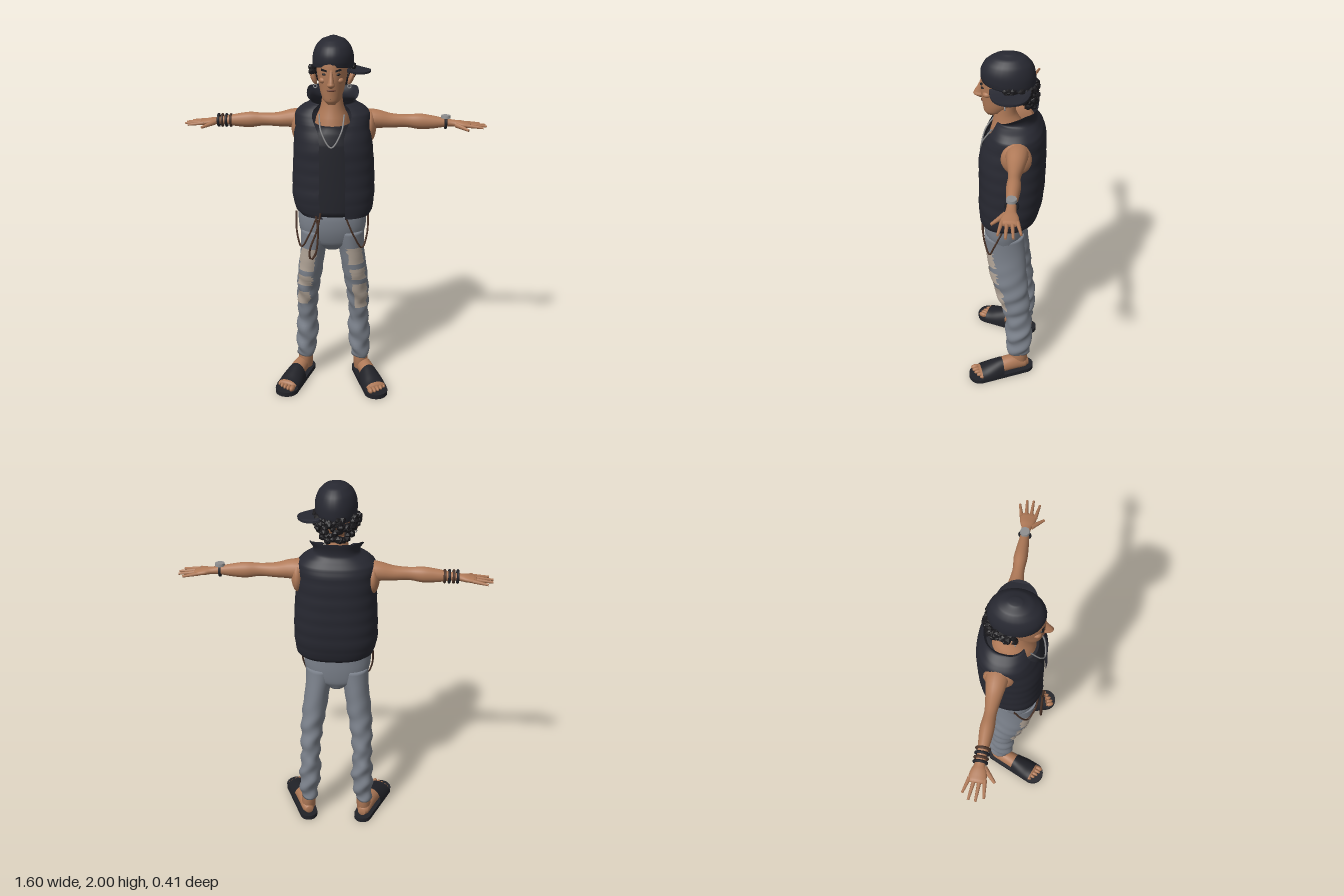
import * as THREE from 'three';
import { mergeGeometries } from 'three/addons/utils/BufferGeometryUtils.js';

const mat = (name, color, side = THREE.FrontSide) => {
  const m = new THREE.MeshStandardMaterial({ color, side });
  m.name = name;
  return m;
};
const V = (x, y, z) => new THREE.Vector3(x, y, z);

// Catmull-Rom resampling of ring rows [t, u, v, ru, rv], sorted along t
function smooth(rings, steps = 5) {
  const r = [...rings].sort((a, b) => a[0] - b[0]), out = [];
  for (let i = 0; i < r.length - 1; i++) {
    const p = [r[Math.max(i - 1, 0)], r[i], r[i + 1], r[Math.min(i + 2, r.length - 1)]];
    for (let k = 0; k < steps; k++) {
      const f = k / steps;
      out.push(r[i].map((_, c) => {
        if (c === 0) return p[1][0] + (p[2][0] - p[1][0]) * f;
        const m0 = (p[2][c] - p[0][c]) / 2, m1 = (p[3][c] - p[1][c]) / 2, d = p[2][c] - p[1][c];
        return p[1][c] + m0 * f + (3 * d - 2 * m0 - m1) * f * f + (m0 + m1 - 2 * d) * f * f * f;
      }));
    }
  }
  out.push(r[r.length - 1]);
  return out;
}
const at = (rows, t) => {
  const i = Math.max(1, rows.findIndex(r => r[0] >= t)), a = rows[i - 1], b = rows[i];
  const f = (t - a[0]) / (b[0] - a[0]);
  return a.map((v, c) => v + (b[c] - v) * f);
};

// Skin through elliptical rings; an arc(t) => [a0, a1] leaves it open
function loft(rows, { axis = 'y', seg = 28, arc = null, p = 2, warp = null } = {}) {
  const pos = [], idx = [], n = arc ? seg + 1 : seg;
  const put = (u, t, v) => {
    const q = axis === 'y' ? V(u, t, v) : axis === 'x' ? V(t, v, u) : V(v, u, t);
    if (warp) warp(q);
    pos.push(q.x, q.y, q.z);
  };
  const pw = c => Math.sign(c) * Math.abs(c) ** (2 / p);
  rows.forEach(([t, u, v, ru, rv]) => {
    const [a0, a1] = arc ? arc(t) : [0, Math.PI * 2];
    for (let i = 0; i < n; i++) {
      const a = a0 + (a1 - a0) * i / seg;
      put(u + ru * pw(Math.cos(a)), t, v + rv * pw(Math.sin(a)));
    }
  });
  for (let j = 0; j < rows.length - 1; j++) for (let i = 0; i < seg; i++) {
    const a = j * n + i, b = j * n + (i + 1) % n;
    idx.push(a, a + n, b, b, a + n, b + n);
  }
  if (!arc) {
    const end = rows.length - 1, c = rows.length * n;
    [0, end].forEach(j => put(rows[j][1], rows[j][0], rows[j][2]));
    for (let i = 0; i < n; i++) {
      const k = (i + 1) % n;
      idx.push(c, i, k, c + 1, end * n + k, end * n + i);
    }
  }
  const g = new THREE.BufferGeometry();
  g.setAttribute('position', new THREE.Float32BufferAttribute(pos, 3));
  g.setIndex(idx);
  g.computeVertexNormals();
  return g;
}
const rod = (a, b, r0, r1) => {
  const d = b.clone().sub(a), g = new THREE.CylinderGeometry(r1, r0, d.length(), 8);
  g.applyQuaternion(new THREE.Quaternion().setFromUnitVectors(V(0, 1, 0), d.normalize()));
  const m = a.clone().add(b).multiplyScalar(0.5);
  return g.translate(m.x, m.y, m.z);
};
const ball = (x, y, z, rx, ry, rz) => new THREE.SphereGeometry(1, 18, 12).scale(rx, ry, rz).translate(x, y, z);
const tube = (pts, r) => new THREE.TubeGeometry(new THREE.CatmullRomCurve3(pts.map(p => V(...p))), 30, r, 6);

export function createModel() {
  const root = new THREE.Group();
  const skin = mat('skin', 0xb07a58), vest = mat('vest cloth', 0x272831, THREE.DoubleSide);
  const tank = mat('undershirt cloth', 0x24252c), denim = mat('denim', 0x7b818b);
  const fray = mat('frayed cloth', 0xb3a699, THREE.DoubleSide), hair = mat('hair', 0x19181b);
  const rubber = mat('sandal', 0x212228, THREE.DoubleSide), leather = mat('leather', 0x4a3328);
  const metal = mat('metal', 0x8f8f90), lip = mat('lips', 0x6a4032);
  const add = (name, geo, m, parent = root) => {
    const mesh = new THREE.Mesh(geo, m);
    mesh.name = name;
    parent.add(mesh);
    return mesh;
  };
  let seed = 7;
  const rnd = () => (seed = (seed * 16807) % 2147483647) / 2147483647;

  // Head, neck and face
  add('head', loft(smooth([[1.665, -.01, .078, .022, .025], [1.685, -.01, .062, .044, .054], [1.72, -.01, .042, .058, .08],
    [1.76, -.01, .02, .068, .108], [1.8, -.01, .01, .076, .122], [1.86, -.01, 0, .084, .13], [1.92, -.01, -.005, .085, .125]])), skin);
  add('neck', loft(smooth([[1.5, -.01, -.02, .1, .12], [1.58, -.01, -.015, .085, .1], [1.63, -.01, 0, .064, .072],
    [1.68, -.01, .01, .054, .055], [1.75, -.01, .01, .052, .055]])), skin);
  add('nose', loft(smooth([[1.757, -.01, .13, .01, .014], [1.77, -.01, .135, .021, .031], [1.785, -.01, .134, .016, .03],
    [1.815, -.01, .127, .011, .02], [1.845, -.01, .118, .009, .015]]), { seg: 12 }), skin);
  add('mouth', ball(-.01, 1.742, .118, .024, .006, .012), lip);
  add('goatee', ball(-.01, 1.7, .107, .012, .009, .012), hair);
  for (const s of [-1, 1]) {
    add('ear', ball(0, 0, 0, .014, .042, .026).rotateZ(-s * .35).translate(-.01 + s * .098, 1.788, -.005), skin);
    add('earring', new THREE.TorusGeometry(.009, .003, 6, 12).translate(-.01 + s * .088, 1.742, .005), metal);
    add('cheekbone', ball(-.01 + s * .042, 1.79, .095, .02, .016, .022), skin);
    add('eye', ball(-.01 + s * .034, 1.823, .116, .013, .006, .009), hair);
    add('eyebrow', new THREE.BoxGeometry(.036, .009, .009).rotateZ(s * .3).translate(-.01 + s * .033, 1.843, .122), hair);
  }

  // Curly hair below the cap
  const curls = [];
  for (let i = 0; i < 120; i++) {
    const a = Math.PI * (.95 + 1.1 * rnd()), k = Math.max(0, -Math.sin(a)), h = rnd();
    curls.push(new THREE.IcosahedronGeometry(.013 + .008 * rnd(), 0).rotateX(rnd() * 3)
      .translate(-.01 + Math.cos(a) * (.092 + .018 * rnd()), 1.845 - h * (.035 + .085 * k), -.015 + Math.sin(a) * (.115 + .02 * rnd())));
  }
  add('curlyHair', mergeGeometries(curls), hair);

  // Cap, with the visor turned to the left side
  add('cap', loft(smooth([[1.84, -.005, -.005, .103, .13], [1.87, -.005, -.005, .106, .135], [1.91, -.005, -.006, .103, .132],
    [1.95, -.005, -.008, .088, .114], [1.98, -.005, -.01, .06, .078], [1.996, -.005, -.01, .02, .028]]),
  { warp: q => { q.y += (1.99 - q.y) * q.z * .9; } }), vest);
  const visor = new THREE.Shape();
  visor.absellipse(0, 0, .12, .1, -Math.PI / 2, Math.PI / 2);
  const brim = new THREE.ExtrudeGeometry(visor, { depth: .01, bevelEnabled: false, curveSegments: 24 }).rotateX(Math.PI / 2);
  const bp = brim.attributes.position;
  for (let i = 0; i < bp.count; i++) {
    const x = bp.getX(i), z = bp.getZ(i);
    bp.setY(i, bp.getY(i) - x * .38 - z * z * 3);
  }
  brim.computeVertexNormals();
  add('visor', brim.translate(.068, 1.87, -.02), vest);

  // Undershirt and padded open vest with a raised collar
  add('undershirt', loft(smooth([[1.07, -.005, 0, .17, .135], [1.2, -.005, -.02, .2, .155], [1.45, -.01, -.028, .18, .157],
    [1.51, -.01, -.03, .13, .147], [1.55, -.01, -.03, .09, .133]]), { p: 2.3 }), tank);
  const vestRows = smooth([[1.06, .005, 0, .19, .145], [1.08, 0, -.01, .205, .155], [1.15, -.005, -.018, .22, .168],
    [1.25, -.005, -.025, .22, .172], [1.35, -.005, -.027, .215, .173], [1.45, -.008, -.028, .208, .172],
    [1.55, -.01, -.04, .2, .157], [1.6, -.01, -.045, .196, .138], [1.63, -.01, -.045, .165, .118],
    [1.655, -.01, -.045, .122, .103], [1.685, -.01, -.047, .118, .1], [1.725, -.01, -.05, .136, .106]], 6);
  const gap = t => .25 + .3 * THREE.MathUtils.smoothstep(t, 1.48, 1.66);
  add('vest', loft(vestRows, {
    p: 2.4, seg: 48, arc: t => [Math.PI / 2 + gap(t), Math.PI * 2.5 - gap(t)],
    warp: q => {
      const k = q.y < 1.58 ? 1 + .014 * (Math.abs(Math.sin((q.y - 1.06) * 40)) - .6) : 1;
      q.x *= k; q.z *= k;
      if (q.y > 1.65) q.y -= (q.y - 1.65) / .075 * .45 * Math.max(0, q.z + .1);
    },
  }), vest);
  add('necklace', tube([[-.075, 1.61, .07], [-.062, 1.53, .12], [-.01, 1.45, .138], [.042, 1.53, .12], [.055, 1.61, .07]], .004), metal);

  for (const s of [-1, 1]) {
    const side = s > 0 ? 'left' : 'right';
    // Arm with palm and fingers
    add(side + 'Shoulder', ball(s * .19 - .005, 1.522, -.06, .036, .088, .078), skin);
    add(side + 'Arm', loft(smooth([[.16, -.065, 1.55, .06, .06], [.22, -.065, 1.557, .054, .05], [.3, -.065, 1.549, .04, .038],
      [.38, -.065, 1.548, .03, .034], [.45, -.067, 1.545, .035, .041], [.52, -.067, 1.542, .03, .034], [.59, -.068, 1.54, .023, .022],
      [.63, -.068, 1.537, .026, .018], [.66, -.068, 1.534, .038, .018], [.7, -.068, 1.53, .043, .014], [.715, -.068, 1.53, .038, .009]]
      .map(r => [s * r[0], ...r.slice(1)])), { axis: 'x', seg: 18 }), skin);
    [[-.104, -.125, .77], [-.08, -.092, .797], [-.056, -.058, .8], [-.033, -.022, .78]].forEach(([z0, z1, x]) =>
      add(side + 'Finger', rod(V(s * .695, 1.531, z0), V(s * x, 1.523, z1), .0105, .006), skin));
    add(side + 'Thumb', rod(V(s * .64, 1.532, -.045), V(s * .7, 1.518, .014), .014, .007), skin);

    // Leg with creased denim
    const rows = smooth([[.97, .088, .01, .085, .107], [.85, .105, -.003, .07, .105], [.7, .125, -.02, .068, .1],
      [.6, .138, -.04, .063, .09], [.5, .145, -.06, .057, .08], [.4, .148, -.075, .053, .074], [.3, .15, -.08, .061, .076],
      [.2, .156, -.08, .055, .07], [.13, .16, -.082, .048, .062]].map(([t, u, ...r]) => [t, s * u - .01, ...r]), 7);
    const crease = q => {
      const k = .006 * THREE.MathUtils.smoothstep(.9 - q.y, 0, .5);
      q.x += k * Math.sin(q.y * 58 + q.z * 30);
      q.z += k * Math.sin(q.y * 47 + q.x * 40);
    };
    add(side + 'TrouserLeg', loft(rows, { warp: crease }), denim);

    // Frayed patches hugging the leg front
    const rips = s > 0 ? [[.78, .88], [.68, .75], [.48, .65]] : [[.73, .87], [.63, .7], [.5, .59]];
    for (const [y0, y1] of rips) {
      const patch = [];
      for (let i = 0; i <= 10; i++) {
        const [t, u, v, ru, rv] = at(rows, y0 + (y1 - y0) * i / 10);
        patch.push([t, u, v, ru + .005, rv + .005]);
      }
      const mid = Math.PI / 2 - s * .35;
      add(side + 'FrayedPatch', loft(patch, {
        seg: 12, warp: crease,
        arc: () => [mid - .5 - .25 * rnd(), mid + .5 + .25 * rnd()],
      }), fray);
    }
    add(side + 'HipStrap', tube([[s * .075 - .01, 1.07, .125], [s * .12 - .01, .96, .118], [s * .165 - .01, .88, .085],
      [s * .19 - .01, .95, .055], [s * .195 - .01, 1.06, .01]], .005), leather);

    // Foot in an open sandal
    const foot = new THREE.Group();
    foot.name = side + 'Foot';
    foot.position.set(s * .21 - .01, 0, .018);
    foot.rotation.y = s * .35;
    root.add(foot);
    const outline = new THREE.Shape();
    outline.absarc(0, .145, .05, 0, Math.PI);
    outline.absarc(0, -.13, .066, Math.PI, Math.PI * 2);
    add('sole', new THREE.ExtrudeGeometry(outline, { depth: .026, bevelEnabled: false, curveSegments: 20 }).rotateX(-Math.PI / 2), rubber, foot);
    add('footSkin', loft(smooth([[-.165, .05, 0, .022, .022], [-.14, .055, 0, .036, .036], [-.08, .065, 0, .048, .042],
      [0, .06, 0, .044, .046], [.07, .048, 0, .03, .053], [.135, .04, 0, .018, .054]]), { axis: 'z' }), skin, foot);
    for (let i = 0; i < 5; i++) {
      const big = i === 0 ? 1.3 : 1;
      add('toe', ball(s * (-.042 + i * .022), .038, .15 - i * i * .002, .011 * big, .013 * big, .026), skin, foot);
    }
    add('strap', loft(smooth([[-.005, .02, 0, .088, .058], [.06, .02, 0, .07, .066], [.125, .02, 0, .05, .067]]),
      { axis: 'z', arc: () => [-Math.PI / 2, Math.PI / 2] }), rubber, foot);
    add(side + 'Ankle', loft([[.05, s * .165 - .01, -.08, .042, .052], [.2, s * .158 - .01, -.08, .04, .05]]), skin);
  }

  // Trouser seat and hanging cord
  add('trouserSeat', loft(smooth([[.855, -.01, -.005, .05, .07], [.9, -.01, .003, .15, .098], [.97, -.01, .01, .178, .113],
    [1.04, -.01, .013, .184, .117], [1.1, -.01, .01, .18, .115]]), { p: 2.2 }), denim);
  add('hangingCord', tube([[-.065, 1.1, .15], [-.085, 1.0, .147], [-.125, .88, .148], [-.12, .83, .15], [-.095, .86, .148], [-.08, 1.0, .145], [-.09, 1.08, .14]], .006), leather);

  // Wristwatch and bracelets
  const band = (name, x, r, t, m) => add(name, new THREE.TorusGeometry(r, t, 8, 20).rotateY(Math.PI / 2).translate(x, 1.54, -.068), m);
  band('watchBand', .585, .028, .007, rubber);
  add('watchFace', new THREE.CylinderGeometry(.024, .026, .014, 16).translate(.585, 1.572, -.068), metal);
  [-.555, -.578, -.6, -.62].forEach((x, i) => band('bracelet', x, .03, .007, i % 2 ? rubber : leather));
  return root;
}
